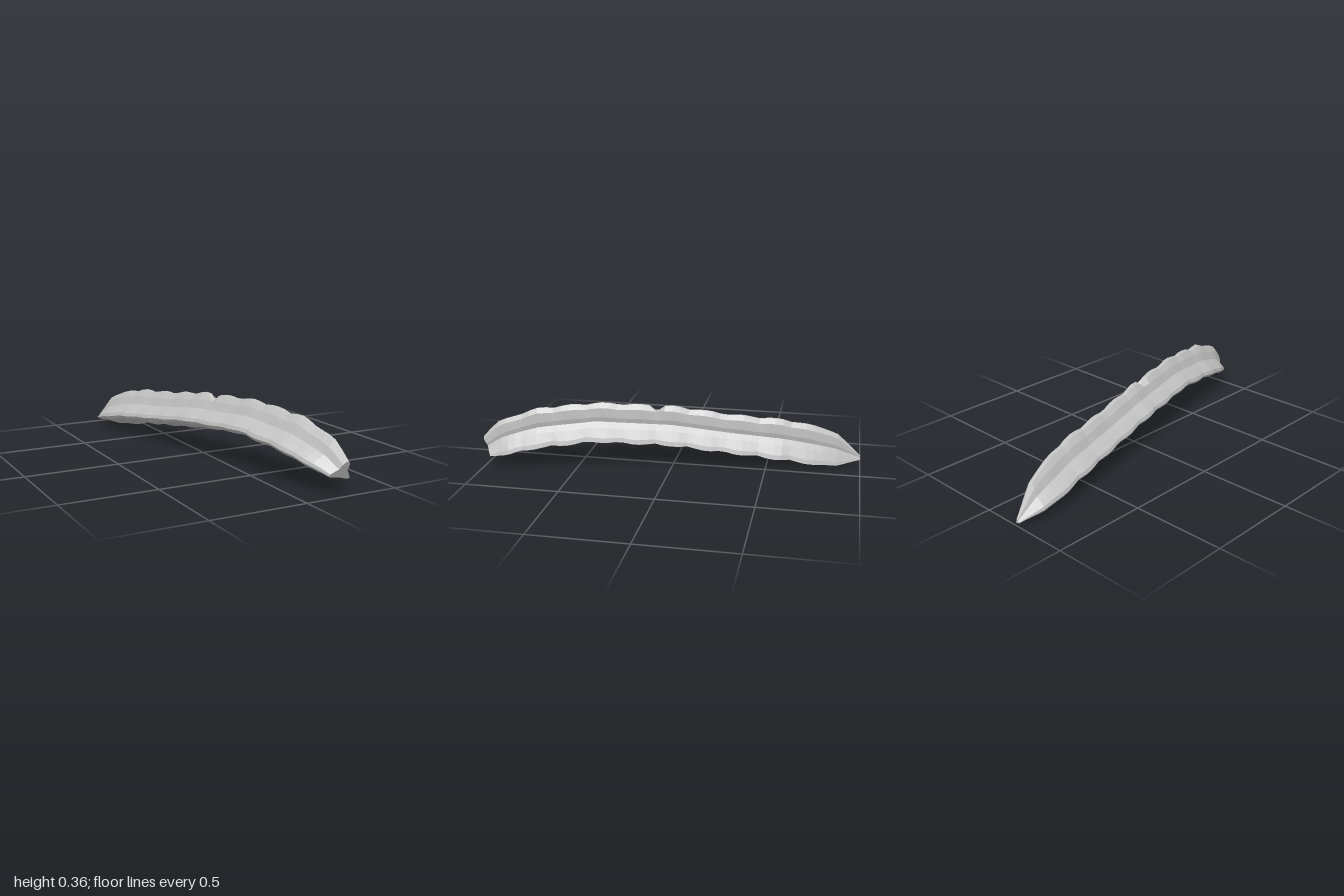
import * as THREE from 'three';

// Envelope along the pod: [z, top y, bottom y, min x, max x]
const STATIONS = [
  [-1, 0.045, 0.02, -0.225, -0.2],
  [-0.87, 0.18, 0.003, -0.262, -0.11],
  [-0.8, 0.215, 0.008, -0.268, -0.075],
  [-0.6, 0.265, 0.045, -0.24, -0.015],
  [-0.3, 0.295, 0.085, -0.175, 0.035],
  [0, 0.34, 0.125, -0.12, 0.09],
  [0.4, 0.362, 0.15, -0.03, 0.175],
  [0.7, 0.335, 0.115, 0.03, 0.24],
  [0.85, 0.285, 0.09, 0.065, 0.267],
  [0.93, 0.25, 0.075, 0.1, 0.267],
  [1, 0.17, 0.07, 0.14, 0.267],
];

// Three-lobed section, counter-clockwise from the front: [u, v, scallop strength]
const SECTION = [
  [0.66, 1, 1], [0.56, 0.98, 1], [0.45, 0.84, 0.7],
  [0.35, 0.62, 0.2], [0.2, 0.53, 0.5],
  [0.03, 0.41, 1], [0, 0.32, 1], [0.06, 0.24, 1],
  [0.28, 0.2, 0.5], [0.5, 0.16, 0.1], [0.7, 0.08, 0.5],
  [0.9, 0, 1], [1, 0.04, 1], [0.97, 0.15, 1],
  [0.84, 0.38, 0.5], [0.74, 0.52, 0.2], [0.77, 0.64, 0.5], [0.76, 0.88, 0.9],
];

const PITCH = 0.18; // length of one swelling

function envelope(z) {
  let k = 0;
  while (k < STATIONS.length - 2 && z > STATIONS[k + 1][0]) k++;
  const [a, b] = [STATIONS[k], STATIONS[k + 1]];
  const t = (z - a[0]) / (b[0] - a[0]);
  return a.map((v, i) => THREE.MathUtils.lerp(v, b[i], t));
}

function podGeometry() {
  const rings = 48;
  const n = SECTION.length;
  const positions = [];
  const index = [];
  for (let i = 0; i <= rings; i++) {
    const z = -1 + (2 * i) / rings;
    const [, top, bottom, left, right] = envelope(z);
    const swell = Math.abs(Math.cos((Math.PI * z) / PITCH));
    // small nick in the top ridge
    const nick = Math.abs(z - 0.083) < 0.02 ? 0.03 : 0;
    // the blunt front end leans forward at its top
    const lean = 0.05 * THREE.MathUtils.smoothstep(z, 0.7, 1);
    for (const [u, v, strength] of SECTION) {
      const s = 1 - 0.11 * strength * (1 - swell) * (1 - Math.pow(Math.abs(z), 8));
      const x = THREE.MathUtils.lerp(left, right, 0.5 + (u - 0.5) * s);
      const y = THREE.MathUtils.lerp(bottom, top, 0.45 + (v - 0.45) * s);
      positions.push(x, y - (v > 0.95 ? nick : 0), z - lean * (1 - v));
    }
  }
  for (let i = 0; i < rings; i++) {
    for (let j = 0; j < n; j++) {
      const a = i * n + j;
      const b = i * n + ((j + 1) % n);
      index.push(a, b, b + n, a, b + n, a + n);
    }
  }
  // end caps, fanned from the middle of each end ring
  for (const i of [0, rings]) {
    const center = positions.length / 3;
    const mid = [0, 0, 0];
    for (let j = 0; j < n; j++) {
      for (let c = 0; c < 3; c++) mid[c] += positions[(i * n + j) * 3 + c] / n;
    }
    positions.push(...mid);
    for (let j = 0; j < n; j++) {
      const a = i * n + j;
      const b = i * n + ((j + 1) % n);
      if (i === 0) index.push(center, b, a);
      else index.push(center, a, b);
    }
  }
  const geometry = new THREE.BufferGeometry();
  geometry.setAttribute('position', new THREE.Float32BufferAttribute(positions, 3));
  geometry.setIndex(index);
  const flat = geometry.toNonIndexed();
  flat.computeVertexNormals();
  return flat;
}

export function createModel() {
  const group = new THREE.Group();
  group.name = 'ridgedPod';
  const material = new THREE.MeshStandardMaterial({ color: 0xc0c0c0, flatShading: true });
  material.name = 'paleGrey';
  const pod = new THREE.Mesh(podGeometry(), material);
  pod.name = 'podBody';
  group.add(pod);
  return group;
}
